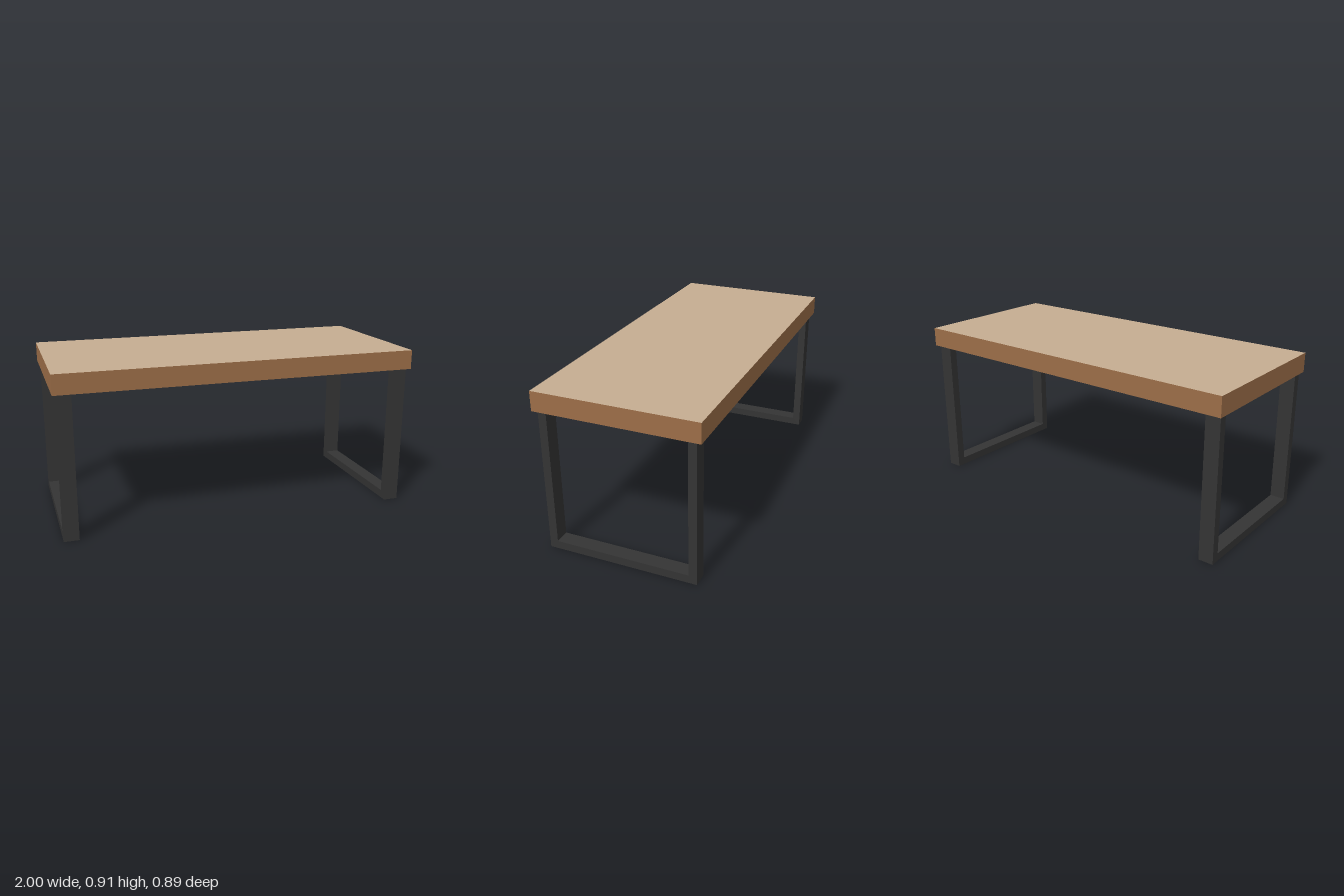
import * as THREE from 'three';

const mat = (name, color) => {
  const m = new THREE.MeshStandardMaterial({ color });
  m.name = name;
  return m;
};

export function createModel() {
  const group = new THREE.Group();
  group.name = 'table';

  const edgeWood = mat('edgeWood', 0x9c6e48);
  const topWood = mat('topWood', 0xc6ad91);
  const underWood = mat('underWood', 0x442f1e);
  const metal = mat('blackMetal', 0x343434);

  // Thick slab: pale top face, brown edges, dark underside
  const slab = new THREE.Mesh(new THREE.BoxGeometry(2, 0.108, 0.89),
    [edgeWood, edgeWood, topWood, underWood, edgeWood, edgeWood]);
  slab.name = 'tabletop';
  slab.position.y = 0.851;
  group.add(slab);

  // U-shaped leg frame: profile in the z-y plane, extruded along x
  const outer = 0.418, inner = 0.373, barTop = 0.045, top = 0.797, width = 0.083;
  const profile = new THREE.Shape([
    [-outer, 0], [outer, 0], [outer, top], [inner, top],
    [inner, barTop], [-inner, barTop], [-inner, top], [-outer, top],
  ].map(([z, y]) => new THREE.Vector2(z, y)));
  const frameGeometry = new THREE.ExtrudeGeometry(profile, { depth: width, bevelEnabled: false });
  frameGeometry.translate(0, 0, -width / 2);
  frameGeometry.rotateY(Math.PI / 2);

  for (const side of [-1, 1]) {
    const frame = new THREE.Mesh(frameGeometry, metal);
    frame.name = side > 0 ? 'leftLegFrame' : 'rightLegFrame';
    frame.position.x = side * 0.944;
    group.add(frame);
  }
  return group;
}
